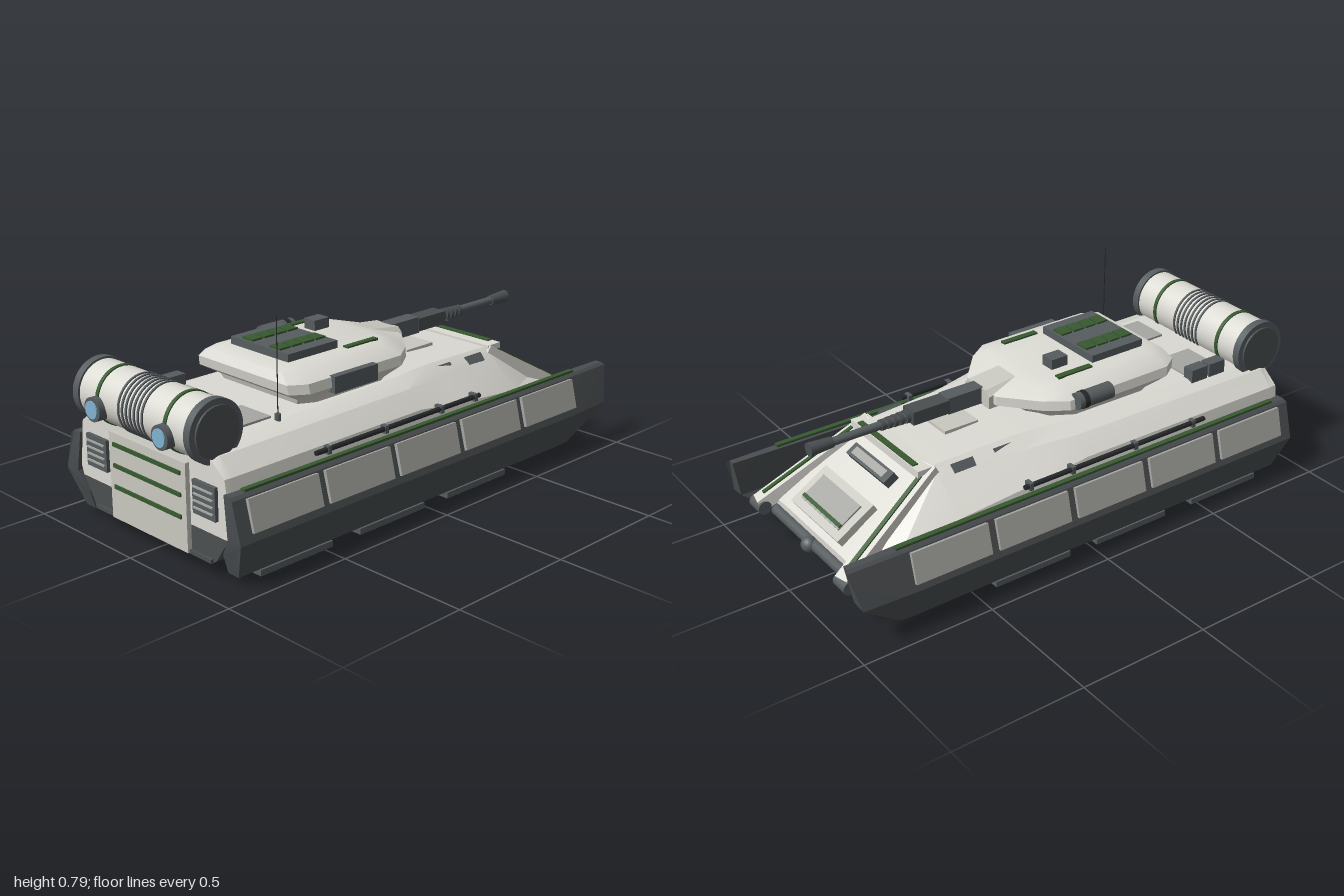
import * as THREE from 'three';
import { toCreasedNormals } from 'three/addons/utils/BufferGeometryUtils.js';

const mat = (name, color) => {
  const m = new THREE.MeshStandardMaterial({ color });
  m.name = name;
  return m;
};

// Skin a list of equal-length point loops and cap both ends; winding is fixed by signed volume
function loft(rings, crease = 0.3) {
  const tris = [];
  const n = rings[0].length;
  for (let i = 0; i < rings.length - 1; i++) {
    for (let j = 0; j < n; j++) {
      const k = (j + 1) % n, a = rings[i], b = rings[i + 1];
      tris.push([a[j], a[k], b[k]], [a[j], b[k], b[j]]);
    }
  }
  const first = rings[0], last = rings[rings.length - 1];
  for (let j = 1; j < n - 1; j++) {
    tris.push([first[0], first[j + 1], first[j]], [last[0], last[j], last[j + 1]]);
  }
  const v = (p) => new THREE.Vector3(...p);
  const volume = tris.reduce((s, t) => s + v(t[0]).dot(v(t[1]).cross(v(t[2]))), 0);
  if (volume < 0) tris.forEach((t) => t.reverse());
  const g = new THREE.BufferGeometry();
  g.setAttribute('position', new THREE.Float32BufferAttribute(tris.flat(2), 3));
  return toCreasedNormals(g, crease);
}

// Symmetric cross-section from its +x half, bottom to top
const section = (z, half) => [
  ...half.map(([x, y]) => [x, y, z]),
  ...half.slice().reverse().map(([x, y]) => [-x, y, z]),
];

export function createModel() {
  const root = new THREE.Group();
  const white = mat('hull white', 0xdbdad3);
  const pale = mat('plate grey', 0xc9c9c1);
  const panelGrey = mat('panel grey', 0xa6a6a2);
  const dark = mat('skirt charcoal', 0x4b4f51);
  const steel = mat('fitting steel', 0x565c5f);
  const green = mat('stripe green', 0x385a31);
  const blue = mat('glow blue', 0x7fb4d0);
  const black = mat('rubber black', 0x25282a);

  const add = (name, geo, m, x = 0, y = 0, z = 0) => {
    const mesh = new THREE.Mesh(geo, m);
    mesh.name = name;
    mesh.position.set(x, y, z);
    root.add(mesh);
    return mesh;
  };
  const box = (name, m, x, y, z, w, h, d) => add(name, new THREE.BoxGeometry(w, h, d), m, x, y, z);
  const cyl = (name, m, axis, x, y, z, r, len, r2 = r, seg = 32) => {
    const g = new THREE.CylinderGeometry(r, r2, len, seg);
    if (axis === 'x') g.rotateZ(-Math.PI / 2);
    if (axis === 'z') g.rotateX(Math.PI / 2);
    return add(name, g, m, x, y, z);
  };
  const beam = (name, m, a, b, w, h, lift = 0) => {
    const from = new THREE.Vector3(...a), to = new THREE.Vector3(...b);
    const mesh = box(name, m, 0, 0, 0, w, h, from.distanceTo(to));
    mesh.position.copy(from).lerp(to, 0.5);
    mesh.lookAt(to);
    mesh.translateY(lift);
    return mesh;
  };

  // Hull
  add('upperHull', loft([
    section(0.9, [[0.385, 0.155], [0.4, 0.2], [0.375, 0.36], [0.31, 0.41], [0.26, 0.415]]),
    section(0.87, [[0.385, 0.155], [0.4, 0.2], [0.378, 0.36], [0.32, 0.415], [0.26, 0.435]]),
    section(0, [[0.385, 0.155], [0.4, 0.2], [0.372, 0.36], [0.31, 0.42], [0.24, 0.447]]),
    section(-0.2, [[0.385, 0.155], [0.39, 0.2], [0.365, 0.33], [0.27, 0.41], [0.215, 0.445]]),
    section(-0.53, [[0.37, 0.155], [0.38, 0.2], [0.36, 0.3], [0.225, 0.415], [0.2, 0.432]]),
    section(-0.77, [[0.35, 0.155], [0.36, 0.18], [0.355, 0.235], [0.24, 0.28], [0.22, 0.283]]),
    section(-0.89, [[0.26, 0.125], [0.27, 0.14], [0.27, 0.17], [0.25, 0.195], [0.2, 0.2]]),
  ]), white);
  add('lowerHull', loft([
    section(0.9, [[0.3, 0.05], [0.325, 0.065], [0.385, 0.155]]),
    section(-0.62, [[0.3, 0.05], [0.325, 0.065], [0.37, 0.155]]),
    section(-0.77, [[0.26, 0.07], [0.29, 0.085], [0.35, 0.155]]),
    section(-0.89, [[0.22, 0.11], [0.23, 0.113], [0.26, 0.125]]),
  ]), dark);
  box('tailSill', dark, 0, 0.062, 0.9, 0.62, 0.014, 0.02);
  for (const z of [0.4, -0.25]) {
    box('bellyFrame', steel, 0, 0.042, z, 0.356, 0.022, 0.32);
    box('bellyEmitter', blue, 0, 0.029, z, 0.32, 0.006, 0.27);
  }

  // Tail door with stripes
  box('tailDoor', pale, 0, 0.214, 0.905, 0.404, 0.312, 0.024);
  for (const y of [0.178, 0.255, 0.331]) box('doorStripe', green, 0, y, 0.919, 0.356, 0.014, 0.008);

  // Nose glacis fittings
  box('noseCrossbar', white, 0, 0.425, -0.565, 0.44, 0.03, 0.07);
  box('crossbarStripe', green, 0, 0.442, -0.585, 0.36, 0.006, 0.022);
  const slope = Math.atan2(0.15, 0.24);
  const onGlacis = (name, m, z, lift, w, h, d) => {
    const mesh = box(name, m, 0, 0.432 + (z + 0.53) * 0.62, z, w, h, d);
    mesh.rotation.x = -slope;
    mesh.translateY(lift);
  };
  onGlacis('upperGlacisBox', steel, -0.64, 0.015, 0.25, 0.035, 0.05);
  onGlacis('upperGlacisLid', panelGrey, -0.64, 0.034, 0.2, 0.006, 0.03);
  onGlacis('glacisHatchFrame', pale, -0.8, 0.012, 0.32, 0.03, 0.17);
  onGlacis('glacisHatch', panelGrey, -0.8, 0.029, 0.25, 0.008, 0.11);
  onGlacis('glacisStripe', green, -0.835, 0.035, 0.25, 0.006, 0.014);
  cyl('noseBar', steel, 'x', 0, 0.155, -0.895, 0.022, 0.52, 0.022, 16);
  add('noseHook', new THREE.SphereGeometry(0.03, 16, 12), steel, 0, 0.155, -0.91);
  box('deckHatch', pale, 0, 0.445, -0.32, 0.13, 0.012, 0.14);

  for (const s of [-1, 1]) {
    // Side skirt: x, y, tail z, nose z, nose x
    const skirt = [
      [0.463, 0.165, 0.915, -0.965, 0.453], [0.425, 0.305, 0.915, -1, 0.42],
      [0.415, 0.315, 0.91, -0.99, 0.41], [0.38, 0.315, 0.91, -0.99, 0.385],
      [0.4, 0.17, 0.915, -0.965, 0.395], [0.358, 0.1, 0.9, -0.87, 0.37],
      [0.358, 0.03, 0.88, -0.8, 0.37], [0.408, 0.03, 0.88, -0.8, 0.405],
    ];
    add('sideSkirt', loft([
      skirt.map(([x, y, t]) => [s * x, y, t]),
      skirt.map(([x, y]) => [s * x, y, -0.75]),
      skirt.map(([, y, , n, x]) => [s * x, y, n]),
    ]), dark);
    for (let i = 0; i < 5; i++) {
      const panel = box('skirtPanel', panelGrey, s * 0.446, 0.248, 0.71 - i * 0.3325, 0.014, 0.112, 0.3);
      panel.rotation.z = s * 0.248;
    }
    box('skirtStripe', green, s * 0.402, 0.319, 0.02, 0.02, 0.01, 1.66);

    // Hover pads
    for (const z of [0.63, 0.18, -0.26]) {
      box('hoverPad', steel, s * 0.384, 0.016, z, 0.055, 0.022, 0.32);
      box('hoverPadGlow', blue, s * 0.384, 0.003, z, 0.04, 0.006, 0.28);
    }

    // Side handrail
    cyl('handrail', black, 'z', s * 0.39, 0.348, 0.12, 0.009, 0.81, 0.009, 10);
    for (const z of [0.47, 0.2, -0.08, -0.26]) box('railBracket', steel, s * 0.383, 0.346, z, 0.032, 0.028, 0.016);

    // Tail vents
    box('tailVent', steel, s * 0.285, 0.267, 0.903, 0.112, 0.116, 0.02);
    for (let i = 0; i < 4; i++) box('ventSlat', panelGrey, s * 0.285, 0.232 + i * 0.024, 0.915, 0.095, 0.006, 0.008);

    // Nose arms with stripes and end bolts
    const a = [s * 0.2, 0.42, -0.53], b = [s * 0.295, 0.18, -0.945];
    beam('noseArm', white, a, b, 0.055, 0.05);
    beam('noseArmStripe', green, [s * 0.21, 0.393, -0.575], [s * 0.289, 0.197, -0.915], 0.016, 0.006, 0.028);
    cyl('noseArmBolt', steel, 'x', s * 0.295, 0.175, -0.94, 0.026, 0.07, 0.026, 16);

    // Plates on the sloping nose sides
    for (const z of [-0.26, -0.43]) {
      const plate = box('noseSidePlate', steel, s * 0.235, 0.413, z, 0.02, 0.034, 0.085);
      plate.rotation.z = s * 0.7;
    }
    box('rearDeckPlate', panelGrey, s * 0.15, 0.442, 0.645, 0.148, 0.008, 0.15);
    box('turretStripe', green, s * 0.165, 0.579, 0.095, 0.024, 0.008, 0.15);
  }

  // Turret, built from plan outlines stacked upwards
  const plan = (y, w, back, mid, tip, front) => [
    [w * 0.85, y, back], [w, y, back - 0.06], [w, y, mid], [w * 0.8, y, mid - 0.08], [tip, y, front],
    [-tip, y, front], [-w * 0.8, y, mid - 0.08], [-w, y, mid], [-w, y, back - 0.06], [-w * 0.85, y, back],
  ];
  add('turret', loft([
    plan(0.435, 0.22, 0.42, 0.06, 0.1, -0.06),
    plan(0.46, 0.235, 0.43, 0.05, 0.1, -0.09),
    plan(0.5, 0.273, 0.497, 0.0, 0.09, -0.19),
    plan(0.535, 0.268, 0.503, 0.0, 0.09, -0.19),
    plan(0.565, 0.22, 0.485, 0.03, 0.08, -0.08),
    plan(0.577, 0.18, 0.46, 0.06, 0.07, -0.02),
  ], 0.5), white);
  add('mantlet', loft([
    section(-0.08, [[0.065, 0.48], [0.065, 0.555], [0.05, 0.566]]),
    section(-0.21, [[0.075, 0.485], [0.075, 0.53], [0.055, 0.55]]),
  ]), pale);

  // Turret roof and sides
  box('roofRack', steel, -0.002, 0.588, 0.305, 0.295, 0.034, 0.23);
  for (const x of [-0.073, 0.068]) {
    for (let i = 0; i < 4; i++) box('rackTile', green, x, 0.608, 0.222 + i * 0.055, 0.055, 0.008, 0.046);
  }
  box('roofSight', steel, -0.08, 0.595, 0.075, 0.055, 0.04, 0.07);
  box('sideStowage', steel, 0.262, 0.51, 0.235, 0.05, 0.06, 0.205);
  cyl('sideCanister', steel, 'z', -0.275, 0.53, 0.095, 0.031, 0.15);
  cyl('canisterBand', black, 'z', -0.275, 0.53, 0.05, 0.033, 0.02);

  // Gun
  box('gunHousing', steel, 0, 0.52, -0.27, 0.06, 0.062, 0.16);
  box('gunSleeve', dark, 0, 0.52, -0.42, 0.066, 0.05, 0.15);
  cyl('gunBarrel', steel, 'z', 0, 0.52, -0.66, 0.015, 0.36, 0.015, 20);
  for (let i = 0; i < 5; i++) cyl('barrelRing', dark, 'z', 0, 0.52, -0.505 - i * 0.024, 0.024 - i * 0.001, 0.015, undefined, 20);
  cyl('muzzle', dark, 'z', 0, 0.52, -0.84, 0.019, 0.09, 0.025, 20);

  // Tail drum
  const dy = 0.493, dz = 0.87;
  cyl('tailDrum', white, 'x', 0, dy, dz, 0.102, 0.58, 0.102, 48);
  for (let i = -3; i <= 3; i++) cyl('drumRib', steel, 'x', i * 0.0207, dy, dz, 0.106, 0.008, 0.106, 48);
  for (const s of [-1, 1]) {
    cyl('drumBand', green, 'x', s * 0.178, dy, dz, 0.106, 0.015, 0.106, 48);
    cyl('drumCap', steel, 'x', s * 0.292, dy, dz, 0.109, 0.03, 0.109, 48);
    cyl('drumCapDisc', dark, 'x', s * 0.31, dy, dz, 0.088, 0.01, 0.088, 48);
    cyl('lampHousing', steel, 'z', s * 0.178, 0.471, 0.965, 0.042, 0.06);
    cyl('lampLens', blue, 'z', s * 0.178, 0.471, 0.996, 0.031, 0.008);
    box('drumCradle', steel, s * 0.22, 0.42, 0.84, 0.03, 0.06, 0.1);
  }

  // Rear deck boxes and antenna
  for (const z of [0.6, 0.685]) box('deckBox', steel, -0.253, 0.452, z, 0.046, 0.06, 0.075);
  cyl('antennaBase', steel, 'y', 0.252, 0.445, 0.565, 0.011, 0.03, 0.011, 12);
  cyl('antenna', black, 'y', 0.252, 0.615, 0.565, 0.0018, 0.35, 0.0018, 6);
  return root;
}
